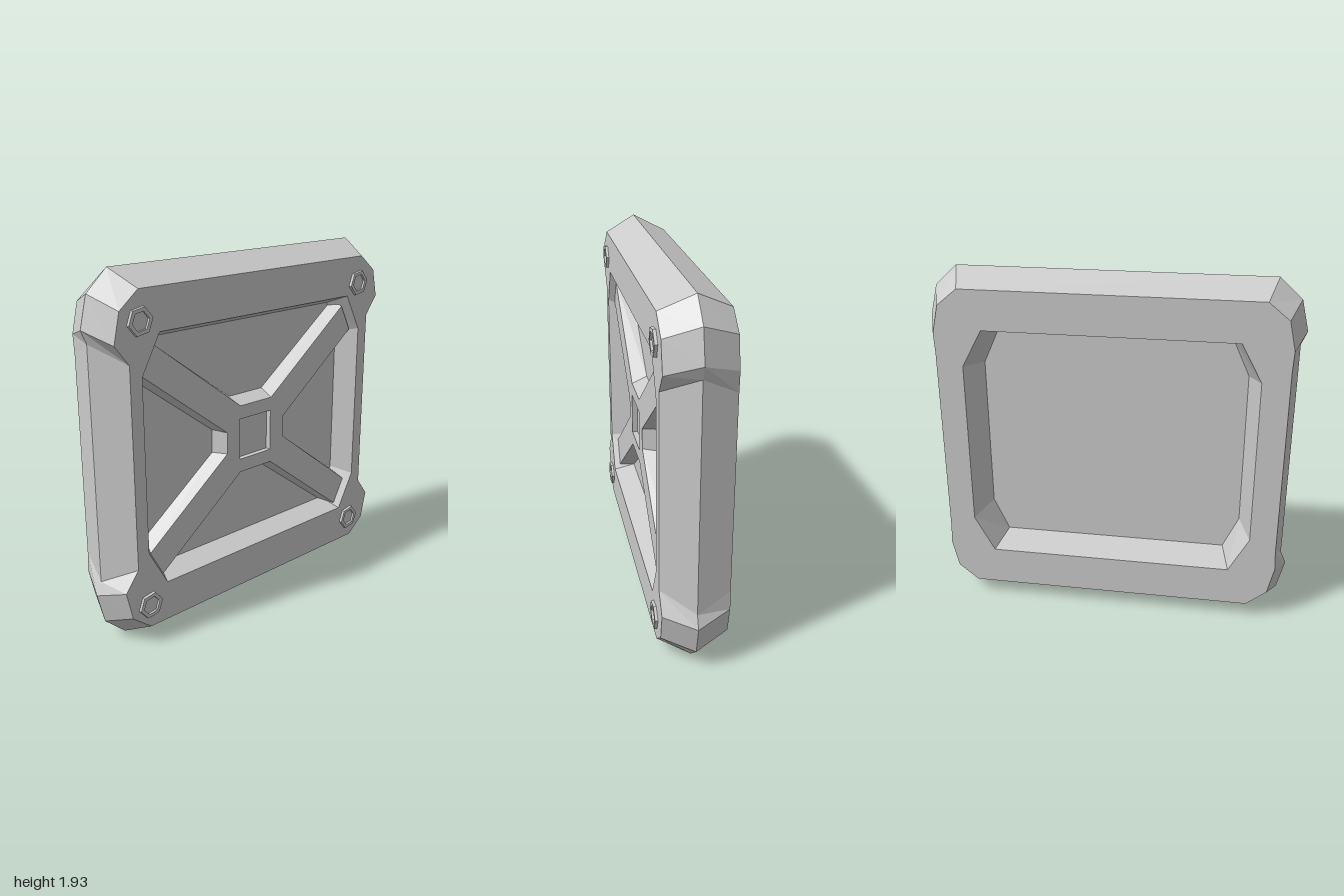
import * as THREE from 'three';

const material = new THREE.MeshStandardMaterial({ color: 0xcccccc, flatShading: true });

function addMesh(parent, name, geometry) {
  const mesh = new THREE.Mesh(geometry, material);
  mesh.name = name;
  parent.add(mesh);
  return mesh;
}

// Mirror one quarter (side to top, counterclockwise) into a full closed outline.
function mirrored(quarter, cx, cy) {
  const back = [...quarter].reverse();
  const place = (list, sx, sy) => list.map(([x, y]) => [cx + sx * x, cy + sy * y]);
  return [...place(quarter, 1, 1), ...place(back, -1, 1), ...place(quarter, -1, -1), ...place(back, 1, -1)];
}

// Regular polygon outline.
function polygon(sides, radius, cx, cy, turn) {
  return Array.from({ length: sides }, (_, i) => {
    const a = turn + (i / sides) * Math.PI * 2;
    return [cx + radius * Math.cos(a), cy + radius * Math.sin(a)];
  });
}

// Walls between successive outlines [points, depth]; rising depth faces outward, falling inward.
function walls(...rings) {
  const out = [];
  for (let r = 0; r + 1 < rings.length; r++) {
    const [p, zp] = rings[r], [q, zq] = rings[r + 1];
    for (let i = 0; i < p.length; i++) {
      const j = (i + 1) % p.length;
      const a = [...p[i], zp], b = [...p[j], zp], c = [...q[j], zq], d = [...q[i], zq];
      out.push(...a, ...b, ...c, ...a, ...c, ...d);
    }
  }
  const g = new THREE.BufferGeometry();
  g.setAttribute('position', new THREE.Float32BufferAttribute(out, 3));
  g.computeVertexNormals();
  return g;
}

// Flat face filling an outline, with an optional hole.
function plate(outline, depth, hole = null, flip = false) {
  const vec = (list) => list.map(([x, y]) => new THREE.Vector2(x, y));
  const shape = new THREE.Shape(vec(outline));
  if (hole) shape.holes.push(new THREE.Path(vec(hole)));
  const g = new THREE.ShapeGeometry(shape);
  if (flip) g.setIndex([...g.index.array].reverse());
  g.translate(0, 0, depth);
  g.computeVertexNormals();
  return g;
}

export function createModel() {
  const model = new THREE.Group();
  model.name = 'bracedPanel';
  // Built facing local +z, then turned to face +x.
  const body = new THREE.Group();
  body.name = 'body';
  body.rotation.y = Math.PI / 2;
  model.add(body);

  const midY = 0.965, faceZ = 0.165, backZ = -0.18, panelZ = 0.045, panelBackZ = 0;

  // Frame with a ridged rim and bulging corners
  const rimFace = mirrored([[0.855, 0.53], [0.935, 0.635], [0.9, 0.79], [0.79, 0.88]], 0, midY);
  const rimRidge = mirrored([[0.97, 0.62], [1.0, 0.69], [0.96, 0.855], [0.84, 0.965]], 0, midY);
  const rimBack = mirrored([[0.93, 0.53], [0.935, 0.635], [0.9, 0.79], [0.79, 0.88]], 0, midY);
  const opening = mirrored([[0.785, 0.46], [0.675, 0.663]], 0, midY);
  const openingFoot = mirrored([[0.72, 0.43], [0.635, 0.615]], 0, midY);
  const frame = new THREE.Group();
  frame.name = 'frame';
  body.add(frame);
  addMesh(frame, 'frameRim', walls([rimBack, backZ], [rimRidge, -0.005], [rimFace, faceZ]));
  addMesh(frame, 'frameFace', plate(rimFace, faceZ, opening));
  addMesh(frame, 'frameBack', plate(rimBack, backZ, opening, true));
  addMesh(frame, 'frontOpeningWalls', walls([opening, faceZ], [openingFoot, panelZ]));
  addMesh(frame, 'backOpeningWalls', walls([openingFoot, panelBackZ], [opening, backZ]));

  // Recessed panel, seen from both sides
  addMesh(body, 'panelFront', plate(openingFoot, panelZ));
  addMesh(body, 'panelBack', plate(openingFoot, panelBackZ, null, true));

  // Cross brace with a hub and a square socket
  const braceTop = mirrored([[0.21, 0.06], [0.755, 0.475], [0.68, 0.62], [0.115, 0.19]], -0.01, 0.945);
  const braceFoot = mirrored([[0.245, 0.065], [0.78, 0.465], [0.69, 0.645], [0.12, 0.225]], -0.01, 0.945);
  const socket = polygon(4, 0.115 * Math.SQRT2, -0.015, 0.945, Math.PI / 4);
  const brace = new THREE.Group();
  brace.name = 'crossBrace';
  body.add(brace);
  addMesh(brace, 'braceSides', walls([braceFoot, panelZ], [braceTop, 0.13]));
  addMesh(brace, 'braceTop', plate(braceTop, 0.13, socket));
  addMesh(brace, 'socketWalls', walls([socket, 0.13], [socket, 0.1]));
  addMesh(brace, 'socketFloor', plate(socket, 0.1));

  // Hexagonal corner bolts with recessed centres
  for (const sx of [-1, 1]) {
    for (const y of [0.215, 1.695]) {
      const hex = (radius) => polygon(6, radius, -0.015 + 0.775 * sx, y, 0.17);
      const bolt = new THREE.Group();
      bolt.name = 'cornerBolt';
      body.add(bolt);
      addMesh(bolt, 'boltSides', walls([hex(0.073), faceZ], [hex(0.071), 0.18]));
      addMesh(bolt, 'boltRim', plate(hex(0.071), 0.18, hex(0.05)));
      addMesh(bolt, 'boltSocket', walls([hex(0.05), 0.18], [hex(0.05), 0.168]));
      addMesh(bolt, 'boltFloor', plate(hex(0.05), 0.168));
    }
  }
  return model;
}
